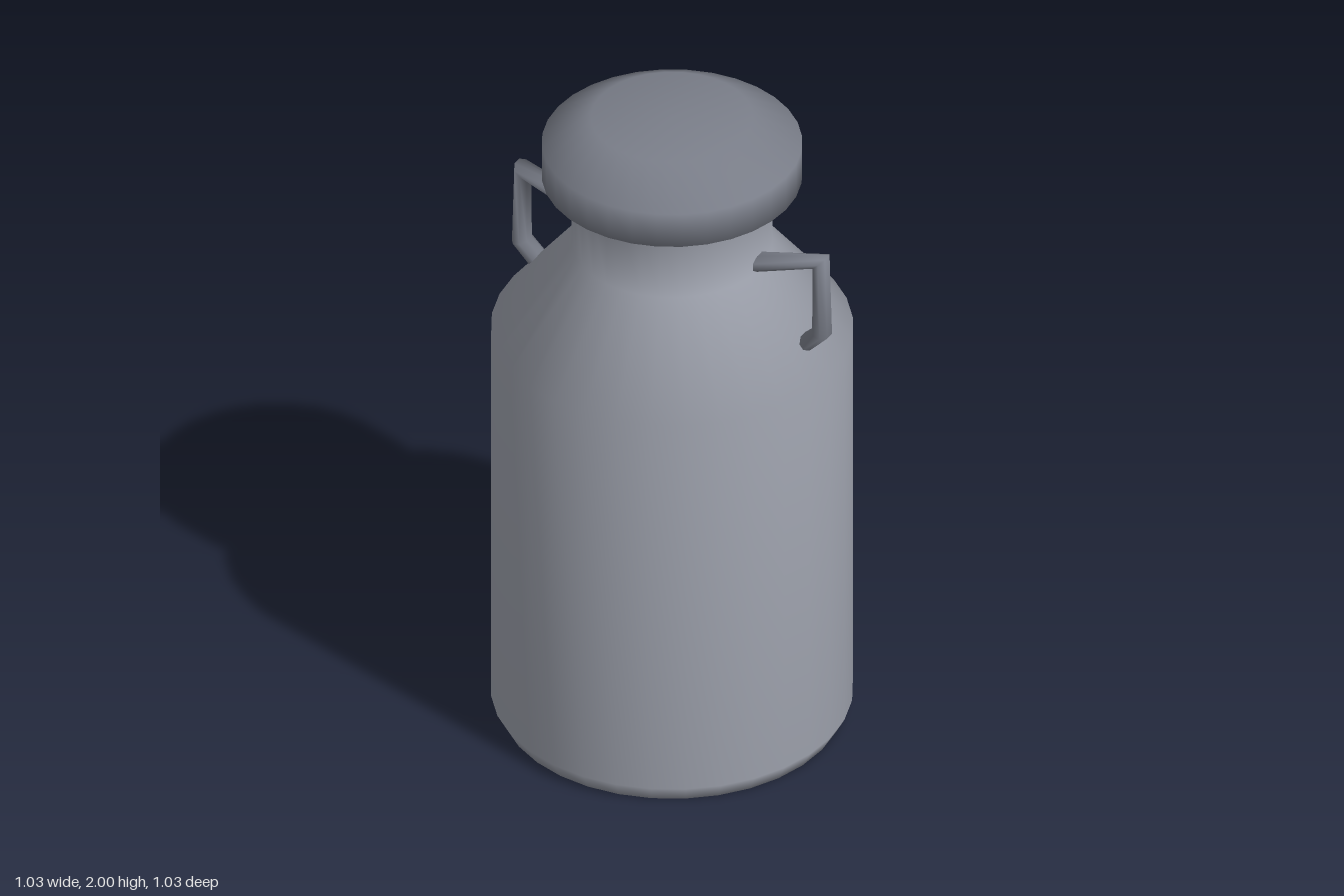
import * as THREE from 'three';

const bodyMaterial = new THREE.MeshStandardMaterial({ color: 0x9ca0ab });
const trimMaterial = new THREE.MeshStandardMaterial({ color: 0x7a7e89 });

function lathe(name, material, points) {
  const profile = points.map(([r, y]) => new THREE.Vector2(r, y));
  const mesh = new THREE.Mesh(new THREE.LatheGeometry(profile, 32), material);
  mesh.name = name;
  return mesh;
}

// Octagonal bar swept through rings, each given by its outer and inner edge in the xy plane
function handleGeometry(rings, halfDepth, sides = 8) {
  const positions = [], index = [];
  const flat = Math.cos(Math.PI / sides);
  for (const [ox, oy, ix, iy] of rings) {
    for (let j = 0; j < sides; j++) {
      const a = ((j + 0.5) / sides) * Math.PI * 2;
      const c = Math.cos(a) / flat / 2, s = Math.sin(a) / flat;
      positions.push((ox + ix) / 2 + (ox - ix) * c, (oy + iy) / 2 + (oy - iy) * c, halfDepth * s);
    }
  }
  for (let i = 0; i < rings.length - 1; i++) {
    for (let j = 0; j < sides; j++) {
      const k = (j + 1) % sides;
      const a = i * sides + j, b = i * sides + k, c = a + sides, d = b + sides;
      index.push(a, b, c, b, d, c);
    }
  }
  // End caps
  const last = (rings.length - 1) * sides;
  for (let j = 1; j < sides - 1; j++) {
    index.push(0, j + 1, j, last, last + j, last + j + 1);
  }
  const geometry = new THREE.BufferGeometry();
  geometry.setAttribute('position', new THREE.Float32BufferAttribute(positions, 3));
  geometry.setIndex(index);
  geometry.computeVertexNormals();
  return geometry;
}

export function createModel() {
  const group = new THREE.Group();
  group.name = 'milkCan';

  // Body with chamfered foot, sloping shoulder and neck flaring into the lid
  group.add(lathe('body', bodyMaterial, [
    [0, 0], [0.487, 0], [0.514, 0.05], [0.514, 1.29], [0.285, 1.575], [0.285, 1.785], [0.32, 1.8],
  ]));

  // Overhanging lid with bevelled rim
  group.add(lathe('lid', trimMaterial, [
    [0.28, 1.78], [0.29, 1.78], [0.37, 1.805], [0.37, 1.915], [0.23, 2], [0, 2],
  ]));

  // Bent handles joining neck and shoulder
  const geometry = handleGeometry([
    [0.27, 1.622, 0.27, 1.568],
    [0.504, 1.685, 0.465, 1.648],
    [0.512, 1.42, 0.463, 1.432],
    [0.44, 1.345, 0.41, 1.385],
  ], 0.034);
  for (const [name, turn] of [['leftHandle', 0], ['rightHandle', Math.PI]]) {
    const handle = new THREE.Mesh(geometry, trimMaterial);
    handle.name = name;
    handle.rotation.y = turn;
    group.add(handle);
  }
  return group;
}
